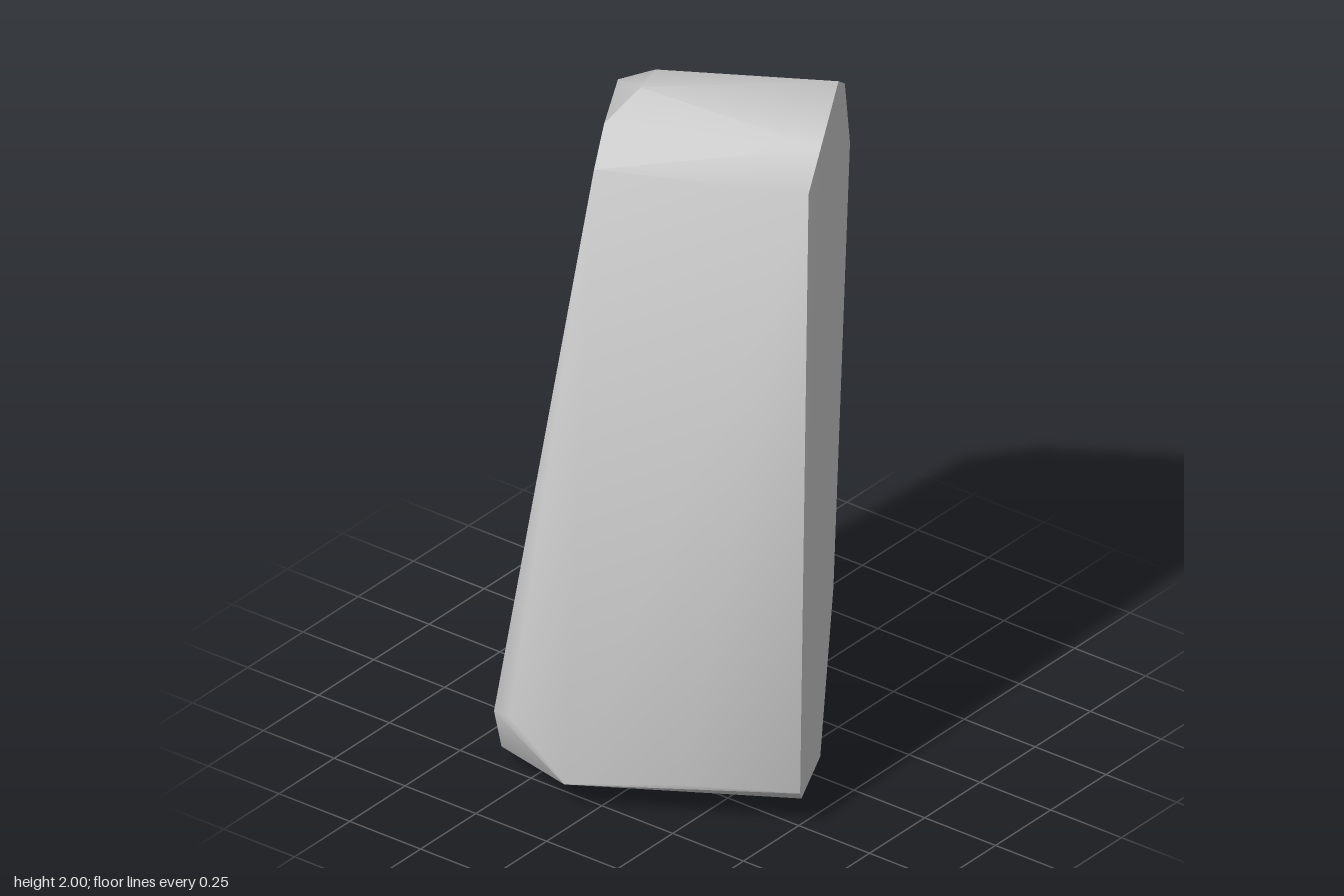
import * as THREE from 'three';
import { ConvexGeometry } from 'three/addons/geometries/ConvexGeometry.js';
import { toCreasedNormals } from 'three/addons/utils/BufferGeometryUtils.js';

// Flat upright face: outline corners (x, y) lying in one vertical plane
const broadFace = [
  [0.1, 1.95], [0.41, 1.96], [0.52, 1.88], [0.61, 1.63],
  [0.32, 0.39], [0.09, 0.0], [-0.24, 0.083], [-0.262, 0.113],
].map(([x, y]) => [x, y, 0.363 - 0.578 * x]);

// Bevelled top corners
const crown = [
  [0.0, 1.86, 0.34], [-0.01, 2.0, -0.245], [-0.15, 1.94, -0.265], [-0.26, 1.86, -0.215],
  [0.15, 1.88, -0.45], [0.23, 1.9, -0.38], [0.23, 1.69, -0.5], [0.34, 1.54, -0.45],
];

// Chipped bottom corners
const foot = [
  [-0.61, 0.25, -0.295], [-0.61, 0.25, -0.24], [-0.58, 0.08, -0.07], [-0.43, 0.116, 0.23],
  [-0.22, 0.24, -0.525], [-0.48, 0.05, -0.37], [-0.3, 0.07, -0.465], [-0.2, 0.065, -0.41],
  [-0.22, 0.0, -0.16],
];

export function createModel() {
  const group = new THREE.Group();
  group.name = 'standingStone';

  const stoneGrey = new THREE.MeshStandardMaterial({ color: 0xcccccc });
  stoneGrey.name = 'stoneGrey';

  // Convex hull with soft shallow bends and crisp steep edges
  const points = [...broadFace, ...crown, ...foot].map((p) => new THREE.Vector3(...p));
  const geometry = toCreasedNormals(new ConvexGeometry(points), THREE.MathUtils.degToRad(45));

  const stone = new THREE.Mesh(geometry, stoneGrey);
  stone.name = 'stone';
  group.add(stone);
  return group;
}
